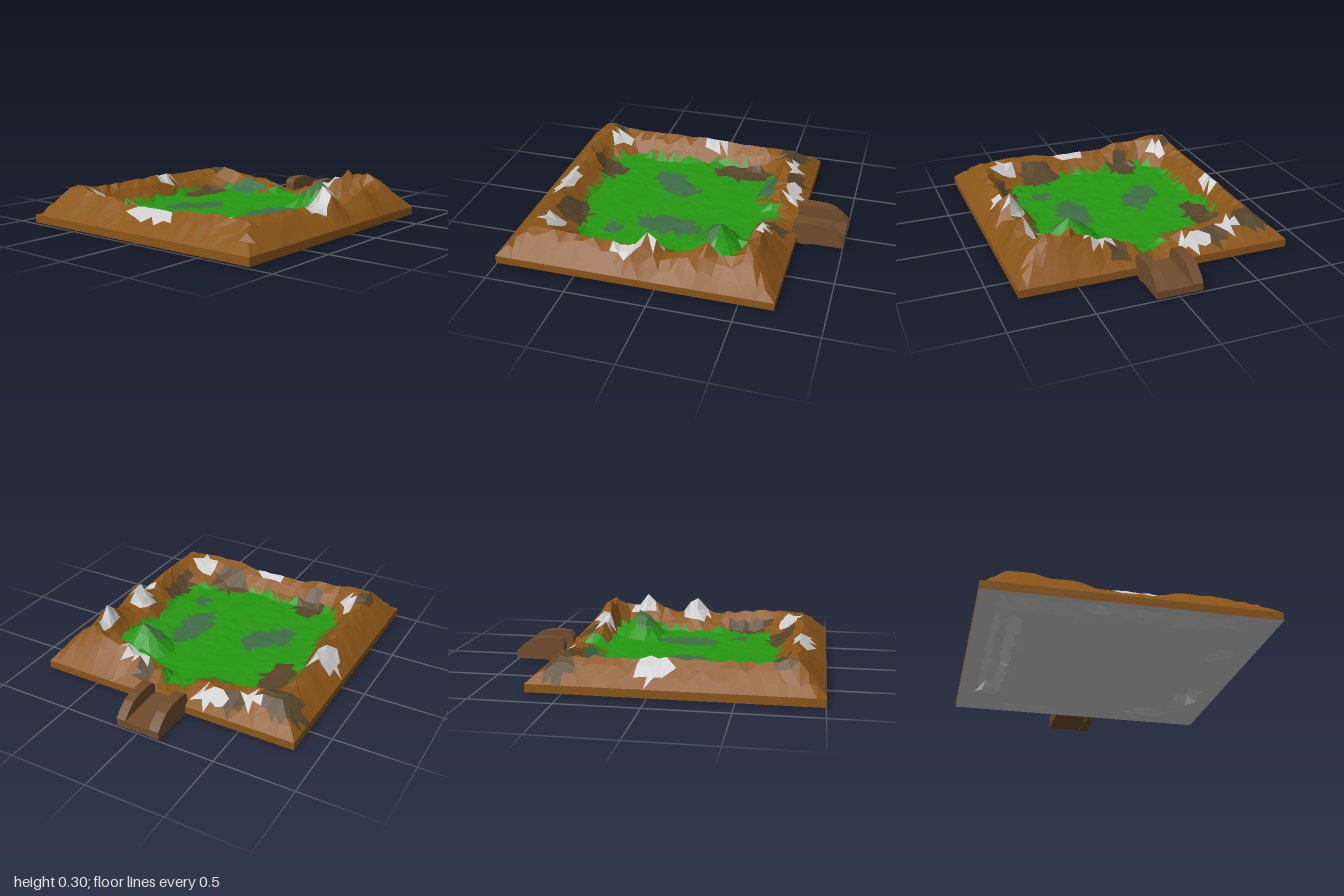
import * as THREE from 'three';

const X0 = -1, X1 = 0.71, Z = 0.855, N = 32;
const FLOOR = 0.07, EDGE = 0.06, BASE = 0.01;

const COLORS = {
  soil: 0x8a5518, darkSoil: 0x57452a, grass: 0x259812,
  darkGrass: 0x3f6e45, rock: 0xcccccc, underside: 0xcccccc
};
const WOOD = 0x6f4c2c;

// Crest heights around the rim: x, z, height
const CREST = [
  [-0.85, 0.7, 0.2], [-0.6, 0.68, 0.21], [-0.35, 0.68, 0.2], [-0.2, 0.68, 0.18],
  [-0.08, 0.7, 0.31], [0.03, 0.7, 0.18], [0.18, 0.7, 0.21], [0.28, 0.69, 0.3],
  [0.37, 0.7, 0.22], [0.49, 0.53, 0.3], [0.53, 0.41, 0.25], [0.54, 0.29, 0.19],
  [0.56, 0.16, 0.15], [0.55, 0, 0.07], [0.56, -0.13, 0.13], [0.57, -0.27, 0.17],
  [0.55, -0.42, 0.18], [0.52, -0.55, 0.21], [0.5, -0.7, 0.2], [0.2, -0.7, 0.2],
  [-0.02, -0.7, 0.21], [-0.3, -0.69, 0.21], [-0.6, -0.68, 0.21], [-0.82, -0.62, 0.235],
  [-0.84, -0.4, 0.21], [-0.85, -0.1, 0.18], [-0.85, 0.1, 0.18], [-0.84, 0.4, 0.21]
];

// Coloured ground patches: x, z, radius x, radius z, kind
const PATCHES = [
  [-0.02, -0.73, 0.1, 0.09, 'rock'], [-0.86, 0.03, 0.06, 0.17, 'rock'],
  [-0.74, 0.55, 0.08, 0.06, 'rock'], [-0.07, 0.66, 0.1, 0.065, 'rock'],
  [-0.2, 0.73, 0.1, 0.045, 'rock'], [0.3, 0.67, 0.09, 0.045, 'rock'],
  [0.52, 0.32, 0.055, 0.09, 'rock'], [0.62, -0.27, 0.055, 0.11, 'rock'],
  [0.58, -0.51, 0.05, 0.06, 'rock'], [-0.7, -0.59, 0.07, 0.045, 'rock'],
  [0.54, -0.7, 0.1, 0.14, 'darkSoil'], [0.22, -0.5, 0.2, 0.09, 'darkSoil'],
  [-0.68, -0.32, 0.11, 0.1, 'darkSoil'], [-0.7, 0.32, 0.1, 0.13, 'darkSoil'],
  [-0.45, 0.6, 0.17, 0.05, 'darkSoil'], [-0.75, -0.7, 0.06, 0.05, 'darkSoil'],
  [0.6, 0.2, 0.08, 0.06, 'darkSoil'], [0.62, -0.4, 0.06, 0.08, 'darkSoil'],
  [-0.25, -0.3, 0.13, 0.08, 'darkGrass'], [-0.12, -0.19, 0.14, 0.07, 'darkGrass'],
  [-0.08, 0.26, 0.22, 0.1, 'darkGrass'], [0.44, -0.3, 0.07, 0.12, 'darkGrass'],
  [0.25, 0.4, 0.06, 0.11, 'darkGrass'], [-0.42, 0.38, 0.06, 0.05, 'darkGrass']
];

// Hollows on the underside: start x, z, end x, z, radius, depth
const GROOVES = [
  [-0.68, -0.67, 0.34, -0.65, 0.07, 0.07], [-0.88, -0.68, -0.88, -0.3, 0.06, 0.06],
  [-0.88, -0.2, -0.88, 0.55, 0.055, 0.06], [-0.5, 0.66, -0.42, 0.66, 0.06, 0.04],
  [0.16, 0.67, 0.28, 0.66, 0.08, 0.07], [0.55, 0.38, 0.52, 0.52, 0.06, 0.06],
  [0.62, -0.5, 0.62, -0.25, 0.05, 0.04]
];

const clamp = v => Math.min(1, Math.max(0, v));
const hash = (i, j, k) => {
  const s = Math.sin(i * 127.1 + j * 311.7 + k * 74.7) * 43758.5453;
  return (s - Math.floor(s)) * 2 - 1;
};

// Crest height by inverse-distance weighting
function crestHeight(x, z) {
  let sum = 0, weight = 0;
  for (const [px, pz, h] of CREST) {
    const w = 1 / ((x - px) ** 2 + (z - pz) ** 2 + 0.0004) ** 2;
    sum += w * h;
    weight += w;
  }
  return sum / weight;
}

// How much of the crest is reached: rises from the edge, falls steeply into the basin
function rim(x, z) {
  const wob = 0.02 * Math.sin(x * 9 + z * 4) + 0.015 * Math.sin(z * 13 - x * 5);
  const l = x - X0, r = X1 - x, b = z + Z, f = Z - z;
  const sides = [[l, 0.16, 0.3], [r, 0.18, 0.27], [b, 0.16, 0.27], [f, 0.14, 0.28]];
  const diagonals = [[l + b, 0.33, 0.5], [l + f, 0.32, 0.54], [r + b, 0.3, 0.45], [r + f, 0.29, 0.44]]
    .map(([d, crest, basin]) => [d * Math.SQRT1_2, crest, basin]);
  const outer = Math.min(...sides.map(([d, crest]) => clamp(d / crest)));
  const inner = Math.max(...[...sides, ...diagonals].map(
    ([d, crest, basin]) => 1 - clamp((d - crest - 0.02) / (basin + wob - crest))));
  return [outer, inner];
}

function ground(x, z) {
  const [outer, inner] = rim(x, z);
  const low = EDGE + (FLOOR - EDGE) * outer;
  const mound = 0.19 * Math.max(0, 1 - Math.hypot((x - 0.27) / 0.16, (z - 0.41) / 0.2));
  return low + (crestHeight(x, z) - low) * outer * inner + mound;
}

function hollow(x, z) {
  return Math.max(...GROOVES.map(([ax, az, bx, bz, radius, depth]) => {
    const dx = bx - ax, dz = bz - az;
    const t = clamp(((x - ax) * dx + (z - az) * dz) / (dx * dx + dz * dz));
    const d = Math.hypot(x - ax - dx * t, z - az - dz * t);
    return depth * clamp(1.6 * (1 - d / radius));
  }));
}

function groundKind(x, z) {
  for (const [px, pz, rx, rz, kind] of PATCHES)
    if (((x - px) / rx) ** 2 + ((z - pz) / rz) ** 2 < 1) return kind;
  const gateway = Math.abs(z) < 0.12 && x > 0.3 && x < 0.57;
  return rim(x, z)[1] < 0.16 || gateway ? 'grass' : 'soil';
}

const material = color => new THREE.MeshStandardMaterial({ color, flatShading: true });

function buildTerrain() {
  const buckets = {};
  const add = (kind, ...pts) => (buckets[kind] ??= []).push(...pts.flat());

  // Jittered grid of matching top and underside points
  const top = [], under = [];
  for (let j = 0; j <= N; j++) {
    for (let i = 0; i <= N; i++) {
      const border = i === 0 || j === 0 || i === N || j === N;
      const amount = border ? 0 : 0.015;
      const x = X0 + (X1 - X0) * i / N + hash(i, j, 1) * amount;
      const z = -Z + 2 * Z * j / N + hash(i, j, 2) * amount;
      const h = border ? EDGE : ground(x, z) + hash(i, j, 3) * 0.004;
      top.push([x, h, z]);
      under.push([x, border ? BASE : Math.min(BASE + hollow(x, z), h - 0.03), z]);
    }
  }

  for (let j = 0; j < N; j++) {
    for (let i = 0; i < N; i++) {
      const a = j * (N + 1) + i, b = a + 1, c = a + N + 1, d = c + 1;
      const tris = hash(i, j, 4) > 0 ? [[a, c, b], [b, c, d]] : [[a, c, d], [a, d, b]];
      for (const t of tris) {
        const p = t.map(k => top[k]);
        const cx = (p[0][0] + p[1][0] + p[2][0]) / 3, cz = (p[0][2] + p[1][2] + p[2][2]) / 3;
        add(groundKind(cx, cz), ...p);
        add('underside', ...t.map(k => under[k]).reverse());
      }
    }
  }

  // Upright slab sides
  const corners = [[X0, Z], [X1, Z], [X1, -Z], [X0, -Z]];
  corners.forEach(([ax, az], k) => {
    const [bx, bz] = corners[(k + 1) % 4];
    const a = [ax, BASE, az], b = [bx, BASE, bz], c = [bx, EDGE, bz], d = [ax, EDGE, az];
    add('soil', a, b, c, a, c, d);
  });

  const terrain = new THREE.Group();
  terrain.name = 'terrain';
  for (const [kind, points] of Object.entries(buckets)) {
    const geometry = new THREE.BufferGeometry();
    geometry.setAttribute('position', new THREE.Float32BufferAttribute(points, 3));
    geometry.computeVertexNormals();
    const mesh = new THREE.Mesh(geometry, material(COLORS[kind]));
    mesh.name = kind;
    terrain.add(mesh);
  }
  return terrain;
}

// Side profile extruded across z
function slab(name, profile, z0, z1) {
  const shape = new THREE.Shape(profile.map(([x, y]) => new THREE.Vector2(x, y)));
  const geometry = new THREE.ExtrudeGeometry(shape, { depth: z1 - z0, bevelEnabled: false });
  geometry.translate(0, 0, z0);
  const mesh = new THREE.Mesh(geometry, material(WOOD));
  mesh.name = name;
  return mesh;
}

function buildBridge() {
  const bridge = new THREE.Group();
  bridge.name = 'bridge';
  const rail = [
    [0.71, 0.01], [0.74, 0], [0.78, 0], [0.8, 0.01], [1, 0.01], [1, 0.06], [0.96, 0.1],
    [0.91, 0.135], [0.85, 0.152], [0.76, 0.155], [0.7, 0.145], [0.68, 0.12], [0.68, 0.065]
  ];
  const deck = [[0.68, 0.02], [1, 0.012], [1, 0.055], [0.9, 0.066], [0.78, 0.07], [0.68, 0.07]];
  bridge.add(
    slab('frontRail', rail, 0.08, 0.14),
    slab('backRail', rail, -0.145, -0.08),
    slab('deck', deck, -0.085, 0.085)
  );
  return bridge;
}

export function createModel() {
  const model = new THREE.Group();
  model.name = 'valleyTile';
  model.add(buildTerrain(), buildBridge());
  return model;
}
